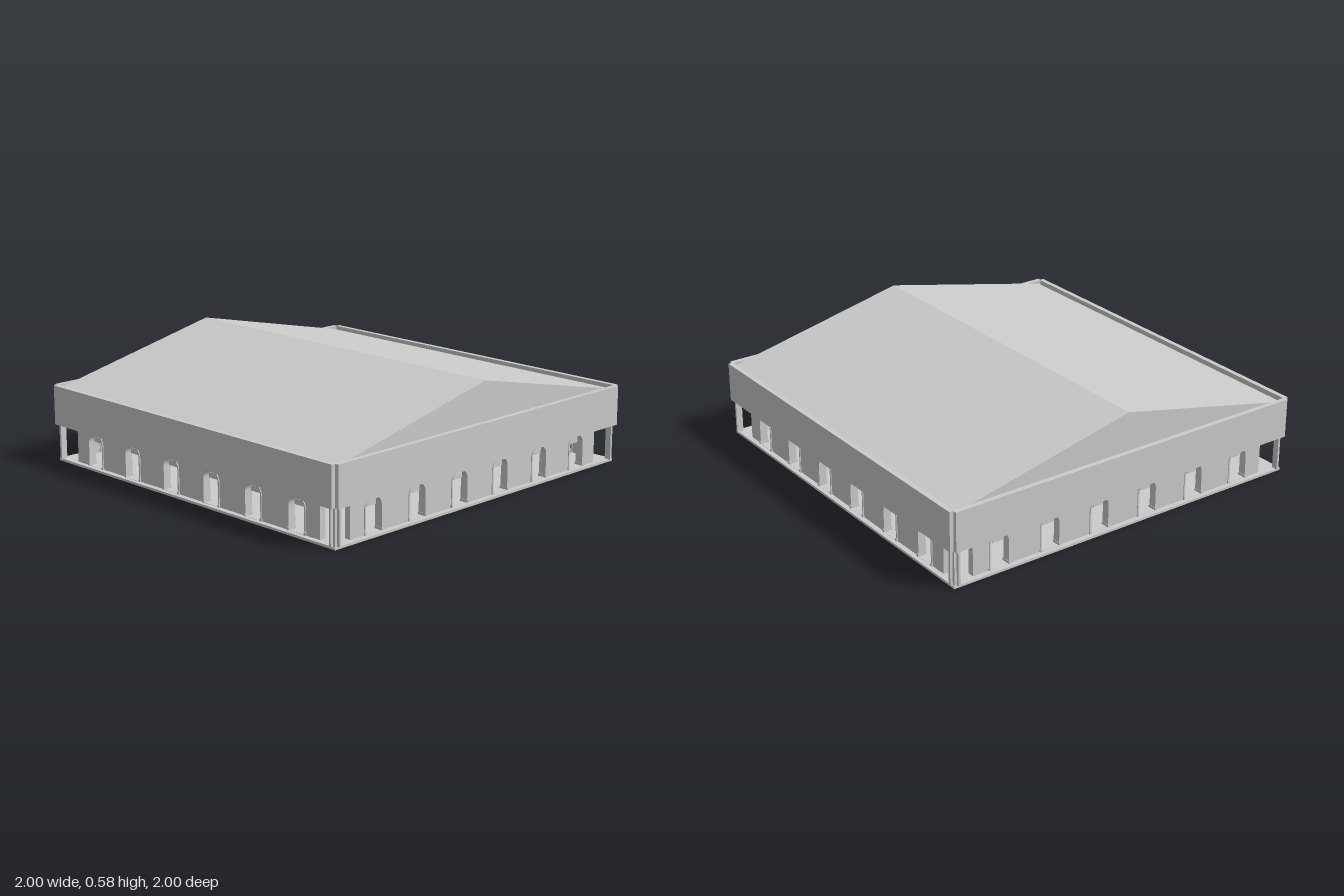
import * as THREE from 'three';

export function createModel() {
  const root = new THREE.Group();
  const stone = new THREE.MeshStandardMaterial({ color: 0xcccccc });
  stone.name = 'pale grey';

  const add = (parent, name, geo, x = 0, y = 0, z = 0) => {
    const m = new THREE.Mesh(geo, stone);
    m.name = name;
    m.position.set(x, y, z);
    parent.add(m);
    return m;
  };
  // Box given by its limits
  const box = (parent, name, x0, x1, y0, y1, z0, z1) =>
    add(parent, name, new THREE.BoxGeometry(x1 - x0, y1 - y0, z1 - z0),
      (x0 + x1) / 2, (y0 + y1) / 2, (z0 + z1) / 2);
  // Arched outline standing on y0
  const arch = (Type, cx, r, y0, spring) => {
    const p = new Type();
    p.moveTo(cx - r, y0);
    p.lineTo(cx + r, y0);
    p.lineTo(cx + r, spring);
    p.absarc(cx, spring, r, 0, Math.PI, false);
    p.lineTo(cx - r, y0);
    return p;
  };
  const extrude = (shape, depth) =>
    new THREE.ExtrudeGeometry(shape, { depth, bevelEnabled: false, curveSegments: 14 });

  const FLOOR = 0.012, CEILING = 0.19, TOP = 0.39, SPRING = 0.13;
  const archX = [-0.715, -0.43, -0.143, 0.143, 0.43, 0.715];

  // Floor slab and ceiling
  box(root, 'floorSlab', -0.98, 0.98, 0, FLOOR, -0.98, 0.98);
  box(root, 'ceiling', -0.975, 0.975, CEILING, 0.2, -0.975, 0.975);

  // Gabled roof with its ridge along z
  const gable = new THREE.Shape([
    [-0.96, 0.2], [0.96, 0.2], [0.96, 0.374], [0, 0.585], [-0.96, 0.374],
  ].map(([x, y]) => new THREE.Vector2(x, y)));
  add(root, 'gableRoof', extrude(gable, 1.95), 0, 0, -0.975);

  // Four equal sides
  for (let i = 0; i < 4; i++) {
    const side = new THREE.Group();
    side.name = 'facade' + (i + 1);
    side.rotation.y = i * Math.PI / 2;
    root.add(side);

    box(side, 'parapet', -0.98, 0.98, CEILING, TOP, 0.975, 1);

    // Arcade wall
    const wall = new THREE.Shape();
    wall.moveTo(-0.86, 0.006);
    wall.lineTo(0.86, 0.006);
    wall.lineTo(0.86, CEILING + 0.002);
    wall.lineTo(-0.86, CEILING + 0.002);
    wall.closePath();
    archX.forEach(x => wall.holes.push(arch(THREE.Path, x, 0.054, FLOOR, SPRING)));
    add(side, 'arcadeWall', extrude(wall, 0.033), 0, 0, 0.92);

    // Arch trim, jamb feet and hanging plates
    for (const x of archX) {
      const trim = arch(THREE.Shape, x, 0.058, FLOOR, SPRING);
      trim.holes.push(arch(THREE.Path, x, 0.05, FLOOR + 0.001, SPRING));
      add(side, 'archTrim', extrude(trim, 0.041), 0, 0, 0.916);
      box(side, 'hangingPlate', x - 0.028, x + 0.028, 0.136, 0.162, 0.932, 0.941);
      for (const s of [-1, 1])
        box(side, 'jambFoot', x + s * 0.054 - 0.006, x + s * 0.054 + 0.006, FLOOR, 0.026, 0.913, 0.96);
    }

    // Corner pillar, with a slim post on each outer face
    box(side, 'cornerPillar', 0.953, 0.975, FLOOR, CEILING, 0.953, 0.975);
    box(side, 'cornerPostFront', 0.95, 0.962, FLOOR, CEILING, 0.975, 0.988);
    box(side, 'cornerPostSide', 0.975, 0.988, FLOOR, CEILING, 0.95, 0.962);
  }

  // Stepped centrepiece in the hall
  [[0.13, 0.012, 0.035], [0.115, 0.035, 0.055], [0.12, 0.055, 0.085],
    [0.1, 0.085, 0.105], [0.09, 0.105, 0.13]].forEach(([r, y0, y1], k) =>
    box(root, 'centreTier' + (k + 1), -r, r, y0, y1, -r, r));

  // Small stepped stand and leaning brace inside
  for (let k = 0; k < 3; k++)
    box(root, 'standShelf', -0.905, -0.87 + k * 0.005, 0.012 + k * 0.022, 0.03 + k * 0.022, 0.55, 0.59);
  const brace = new THREE.Shape([[0.89, 0.012], [0.92, 0.012], [0.92, 0.1], [0.912, 0.1]]
    .map(([x, y]) => new THREE.Vector2(x, y)));
  add(root, 'leaningBrace', extrude(brace, 0.03), 0, 0, 0.56);

  return root;
}
